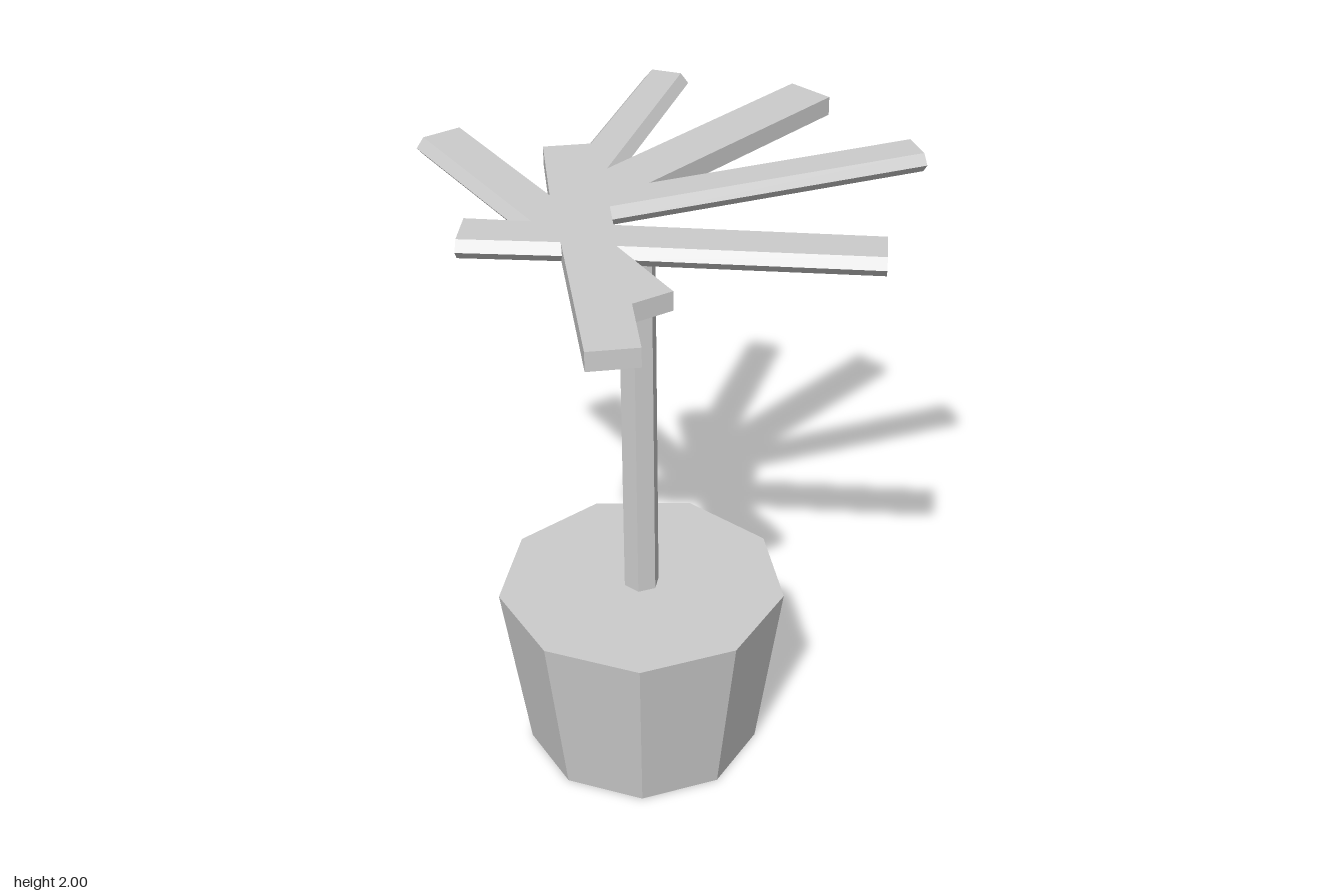
import * as THREE from 'three';

const V = (x, y, z) => new THREE.Vector3(x, y, z);

// Flat-faced geometry from a list of triangle corners
function facets(points) {
  const g = new THREE.BufferGeometry().setFromPoints(points);
  g.computeVertexNormals();
  return g;
}

// Corners run counter-clockwise as seen from outside
const quad = (out, a, b, c, d) => out.push(a, b, c, a, c, d);

// Nine-sided tapered pot; some sides carry a recessed panel
function potGeometry(cx, rBottom, rTop, height, recessed) {
  const n = 9, out = [];
  const corner = (k, r, y) => {
    const a = (k * 2 * Math.PI) / n;
    return V(cx + r * Math.sin(a), y, -r * Math.cos(a));
  };
  for (let k = 0; k < n; k++) {
    const c = [corner(k + 1, rBottom, 0), corner(k, rBottom, 0), corner(k, rTop, height), corner(k + 1, rTop, height)];
    out.push(V(cx, height, 0), c[3], c[2], V(cx, 0, 0), c[1], c[0]);
    if (!recessed.includes(k)) {
      quad(out, ...c);
      continue;
    }
    const inward = c[1].clone().sub(c[0]).cross(c[3].clone().sub(c[0])).normalize().multiplyScalar(-0.04);
    const inner = [[0.19, 0.1], [0.81, 0.1], [0.81, 0.9], [0.19, 0.9]].map(([u, v]) =>
      c[0].clone().lerp(c[1], u).lerp(c[3].clone().lerp(c[2], u), v).add(inward));
    quad(out, ...inner);
    for (let i = 0; i < 4; i++) {
      const j = (i + 1) % 4;
      quad(out, c[i], c[j], inner[j], inner[i]);
    }
  }
  return facets(out);
}

// Slab whose flagged edges are pointed: the top and bottom outlines step inward there
function slabGeometry(outline, y0, y1, bevel) {
  const n = outline.length, out = [];
  const edges = outline.map(([x, z, pointed], i) => {
    const [x2, z2] = outline[(i + 1) % n];
    const len = Math.hypot(x2 - x, z2 - z), dx = (x2 - x) / len, dz = (z2 - z) / len;
    const d = pointed ? bevel : 0;
    return { x: x - dz * d, z: z + dx * d, dx, dz };
  });
  // Each stepped-in corner is where two neighbouring shifted edges cross
  const inset = edges.map((e, i) => {
    const p = edges[(i + n - 1) % n];
    const t = ((e.x - p.x) * e.dz - (e.z - p.z) * e.dx) / (p.dx * e.dz - p.dz * e.dx);
    return new THREE.Vector2(p.x + p.dx * t, p.z + p.dz * t);
  });
  const rings = [
    inset.map((p) => V(p.x, y0, p.y)),
    outline.map(([x, z]) => V(x, (y0 + y1) / 2, z)),
    inset.map((p) => V(p.x, y1, p.y)),
  ];
  for (let r = 0; r < 2; r++) {
    for (let i = 0; i < n; i++) {
      const j = (i + 1) % n;
      quad(out, rings[r][j], rings[r][i], rings[r + 1][i], rings[r + 1][j]);
    }
  }
  for (const [a, b, c] of THREE.ShapeUtils.triangulateShape(inset, [])) {
    const [A, B, C] = [inset[a], inset[b], inset[c]];
    const up = (B.x - A.x) * (C.y - A.y) - (B.y - A.y) * (C.x - A.x) < 0;
    const [p, q] = up ? [b, c] : [c, b];
    out.push(rings[2][a], rings[2][p], rings[2][q], rings[0][a], rings[0][q], rings[0][p]);
  }
  return facets(out);
}

// Frond outline from above: x, z, and 1 where the edge that starts here is pointed
const FRONDS = [
  [0.15, -0.82, 0], [0.265, -0.73, 1], [-0.14, -0.21, 0],
  [0.55, -0.55, 0], [0.62, -0.415, 0], [-0.055, -0.08, 1],
  [0.73, -0.08, 0], [0.73, 0.07, 1], [-0.265, 0.07, 0], [-0.285, 0.155, 0],
  [0.41, 0.485, 0], [0.35, 0.615, 1], [-0.31, 0.305, 0],
  [-0.255, 0.565, 0], [-0.38, 0.59, 0],
  [-0.43, 0.81, 0], [-0.575, 0.78, 0], [-0.46, 0.225, 1],
  [-0.735, 0.105, 0], [-0.67, -0.03, 0], [-0.525, 0.04, 1],
  [-0.67, -0.57, 0], [-0.525, -0.605, 0], [-0.4, -0.08, 0],
  [-0.325, -0.39, 0], [-0.21, -0.366, 1],
];

export function createModel() {
  const group = new THREE.Group();
  group.name = 'pottedPalm';
  const grey = new THREE.MeshStandardMaterial({ color: 0xcccccc });
  grey.name = 'light grey';
  const add = (name, geometry) => {
    const mesh = new THREE.Mesh(geometry, grey);
    mesh.name = name;
    group.add(mesh);
  };

  add('pot', potGeometry(-0.165, 0.38, 0.465, 0.6, [0, 2]));

  // Six-sided trunk with corners towards both sides
  const trunk = new THREE.CylinderGeometry(0.058, 0.058, 1.24, 6)
    .rotateY(Math.PI / 2).translate(-0.165, 1.22, 0).toNonIndexed();
  trunk.computeVertexNormals();
  add('trunk', trunk);

  add('fronds', slabGeometry(FRONDS, 1.94, 2, 0.025));
  return group;
}
